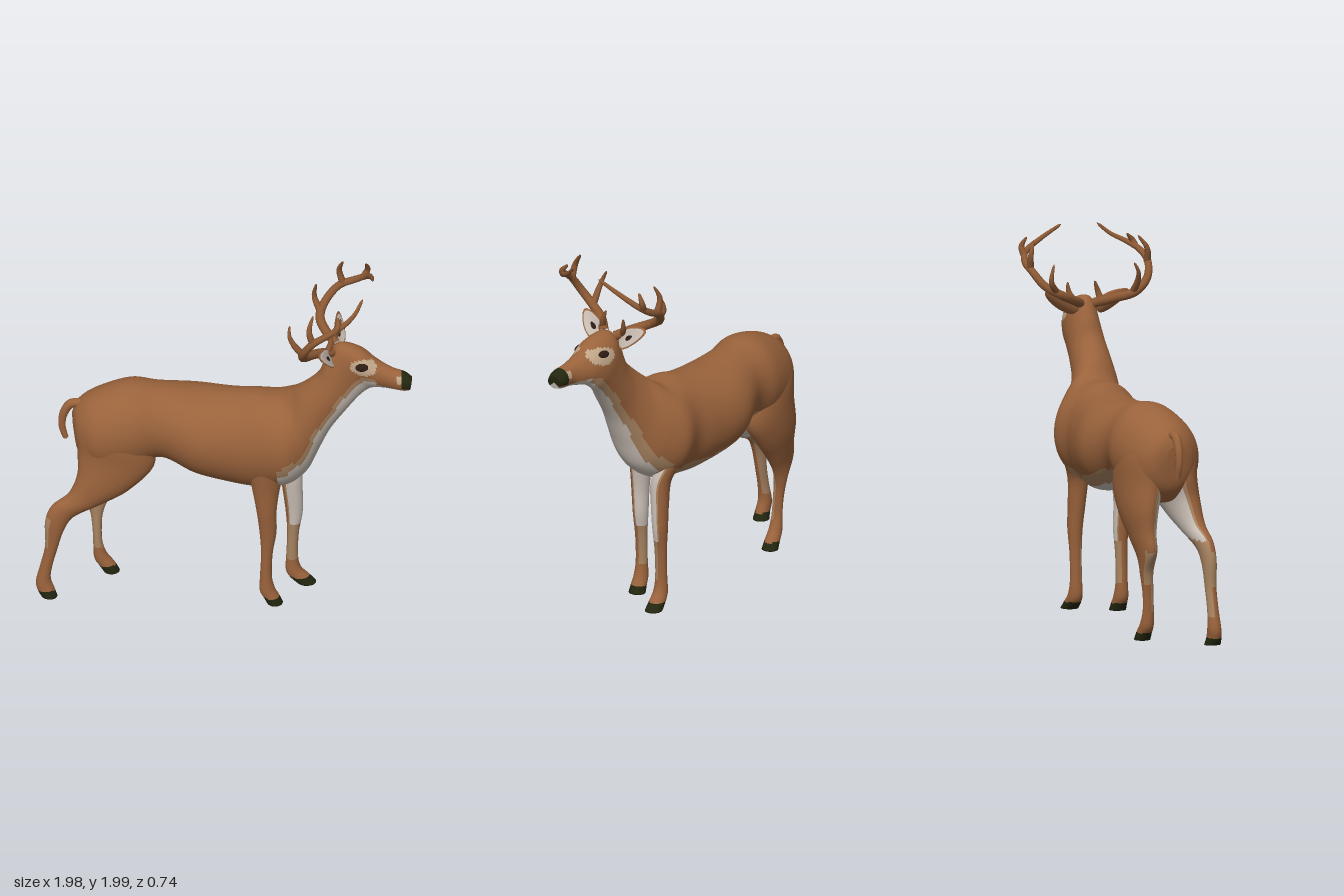
import * as THREE from 'three';

const mat = (name, color) => {
  const m = new THREE.MeshStandardMaterial({ color });
  m.name = name;
  return m;
};

// Uniform Catmull-Rom interpolation of number rows
function sampleRows(rows, steps) {
  const out = [];
  const at = i => rows[Math.min(Math.max(i, 0), rows.length - 1)];
  for (let i = 0; i < rows.length - 1; i++) {
    for (let k = 0; k < steps; k++) {
      const t = k / steps;
      out.push(rows[i].map((p1, c) => {
        const p0 = at(i - 1)[c], p2 = at(i + 1)[c], p3 = at(i + 2)[c];
        return p1 + 0.5 * t * (p2 - p0 + t * (2 * p0 - 5 * p1 + 4 * p2 - p3 + t * (3 * (p1 - p2) + p3 - p0)));
      }));
    }
  }
  out.push(rows[rows.length - 1]);
  return out;
}

// Skin over oval sections. Row: [x, y of one edge, x, y of the opposite edge, centre z, half width].
// pick(x, y, z, angle) returns the colour index of each face.
function loft(name, rows, materials, pick, seg, steps) {
  const rings = sampleRows(rows, steps), pos = [];
  const buckets = materials.map(() => []);
  for (const [x1, y1, x2, y2, z, w] of rings) {
    for (let j = 0; j < seg; j++) {
      const a = j / seg * Math.PI * 2, c = Math.cos(a) / 2;
      pos.push((x1 + x2) / 2 + (x1 - x2) * c, (y1 + y2) / 2 + (y1 - y2) * c, z + w * Math.sin(a));
    }
  }
  for (const [x1, y1, x2, y2, z] of [rings[0], rings[rings.length - 1]]) pos.push((x1 + x2) / 2, (y1 + y2) / 2, z);
  const start = rings.length * seg, end = start + 1;
  const add = (angle, ...v) => {
    const mid = [0, 1, 2].map(c => v.reduce((s, i) => s + pos[i * 3 + c], 0) / v.length);
    const b = buckets[pick(...mid, angle)];
    b.push(v[0], v[1], v[2]);
    if (v.length === 4) b.push(v[0], v[2], v[3]);
  };
  for (let j = 0; j < seg; j++) {
    const n = (j + 1) % seg, angle = (j + 0.5) / seg * Math.PI * 2;
    for (let i = 0; i < rings.length - 1; i++) {
      const r = i * seg, q = r + seg;
      add(angle, r + j, r + n, q + n, q + j);
    }
    add(angle, start, n, j);
    add(angle, end, start - seg + j, start - seg + n);
  }
  const g = new THREE.BufferGeometry();
  g.setAttribute('position', new THREE.Float32BufferAttribute(pos, 3));
  g.setIndex(buckets.flat());
  let offset = 0;
  buckets.forEach((b, i) => {
    if (b.length) g.addGroup(offset, b.length, i);
    offset += b.length;
  });
  g.computeVertexNormals();
  const mesh = new THREE.Mesh(g, materials);
  mesh.name = name;
  return mesh;
}

// Tube that narrows from r0 to r1 along a smooth path
function taperTube(name, points, r0, r1, material) {
  const curve = new THREE.CatmullRomCurve3(points.map(p => new THREE.Vector3(...p)));
  const n = points.length * 5, sides = 10;
  const g = new THREE.TubeGeometry(curve, n, 1, sides);
  const p = g.attributes.position, v = new THREE.Vector3();
  for (let i = 0; i <= n; i++) {
    const c = curve.getPointAt(i / n);
    const r = i === n ? 0.001 : r0 + (r1 - r0) * (i / n) ** 1.7;
    for (let j = 0; j <= sides; j++) {
      const k = i * (sides + 1) + j;
      v.fromBufferAttribute(p, k).sub(c).multiplyScalar(r).add(c);
      p.setXYZ(k, v.x, v.y, v.z);
    }
  }
  const mesh = new THREE.Mesh(g, material);
  mesh.name = name;
  return mesh;
}

// Pointed, cupped leaf from base to tip, hollow side turned along facing
function ear(name, base, tip, facing, outer, inner, hollow) {
  const group = new THREE.Group();
  group.name = name;
  const b = new THREE.Vector3(...base), up = new THREE.Vector3(...tip).sub(b);
  const length = up.length(), width = 0.058;
  up.normalize();
  const face = new THREE.Vector3(...facing);
  face.addScaledVector(up, -face.dot(up)).normalize();
  const side = new THREE.Vector3().crossVectors(up, face);
  const frame = new THREE.Matrix4().makeBasis(side, up, face).setPosition(b);
  const leaf = (part, k, shift, material) => {
    const g = new THREE.SphereGeometry(1, 20, 16), p = g.attributes.position;
    for (let i = 0; i < p.count; i++) {
      const t = (p.getY(i) + 1) / 2, x = p.getX(i) * (1.15 - 0.5 * t);
      p.setXYZ(i, x * width * k, (0.42 + (t - 0.42) * k) * length, p.getZ(i) * 0.008 + x * x * 0.022 * k * k + shift);
    }
    g.applyMatrix4(frame);
    g.computeVertexNormals();
    const m = new THREE.Mesh(g, material);
    m.name = part;
    group.add(m);
  };
  leaf('earBack', 1, 0, outer);
  leaf('earInside', 0.88, 0.005, inner);
  leaf('earHollow', 0.3, 0.008, hollow);
  return group;
}

export function createModel() {
  const root = new THREE.Group();
  root.name = 'deer';
  const brown = mat('brown coat', 0x99623b), pale = mat('pale underside', 0xc9beb4);
  const tan = mat('tan border', 0xa68260), dark = mat('dark hoof and nose', 0x23260f);
  const horn = mat('antler', 0x8b5833), eyeDark = mat('eye', 0x2e1c14);
  const ringTan = mat('eye ring', 0xbfa487);
  const coat = [brown, pale, tan, dark, ringTan];

  // Trunk, neck and head in one skin
  root.add(loft('body', [
    [-0.805, 1.06, -0.795, 0.95, -0.14, 0.04],
    [-0.775, 1.125, -0.765, 0.82, -0.14, 0.125],
    [-0.68, 1.195, -0.66, 0.74, -0.13, 0.195],
    [-0.5, 1.25, -0.48, 0.76, -0.14, 0.212],
    [-0.35, 1.235, -0.33, 0.815, -0.14, 0.19],
    [-0.15, 1.22, -0.15, 0.735, -0.13, 0.24],
    [0.05, 1.23, 0.07, 0.69, -0.09, 0.225],
    [0.17, 1.25, 0.2, 0.69, -0.06, 0.22],
    [0.28, 1.245, 0.34, 0.72, -0.05, 0.235],
    [0.34, 1.28, 0.44, 0.81, -0.03, 0.19],
    [0.39, 1.33, 0.5, 0.96, 0.01, 0.145],
    [0.45, 1.39, 0.56, 1.1, 0.035, 0.115],
    [0.5, 1.45, 0.64, 1.22, 0.045, 0.1],
    [0.535, 1.54, 0.715, 1.315, 0.045, 0.09],
    [0.6, 1.63, 0.765, 1.36, 0.05, 0.088],
    [0.71, 1.618, 0.8, 1.385, 0.073, 0.085],
    [0.8, 1.56, 0.845, 1.395, 0.095, 0.065],
    [0.88, 1.525, 0.89, 1.4, 0.12, 0.05],
    [0.95, 1.508, 0.945, 1.402, 0.137, 0.05],
    [0.99, 1.482, 0.977, 1.41, 0.145, 0.037],
  ], coat, (x, y, z, a) => {
    if (x > 0.932 && y > 1.43) return 3;
    if (((x - 0.732) / 0.07) ** 2 + ((y - 1.537) / 0.045) ** 2 < 1) return 4;
    if (x > 0.908 && y > 1.46 && y < 1.5) return 4;
    if (x < -0.55) return 0;
    // the pale band lies wider on the near side of the neck, wider on the far side of the belly
    const near = a < Math.PI, neck = x > 0.28;
    const under = Math.abs(a - Math.PI) + 0.05 * Math.sin(x * 23 + y * 17);
    const reach = x > 0.8 ? 0.8 : neck ? (near ? 1.1 : 0.42) : 0.48;
    const border = x > 0.8 ? 0.15 : near ? 0.2 : 0.4;
    return under < reach ? 1 : under < reach + border ? 2 : 0;
  }, 64, 8));

  // Legs: row = front edge, back edge, z, half width, from the hip down.
  // inner is the z direction of the pale side, front its wrap onto the shin, low its lower end
  const leg = (name, inner, front, low, rows) => root.add(loft(name, rows, coat, (x, y, z, a) => {
    if (y < 0.05) return 3;
    const s = inner * Math.sin(a) + (y > low ? front : front / 3) * Math.cos(a);
    if (!front && y > 0.32 && y < 0.5 && Math.cos(a) < -0.6) return 2;
    if (y > 0.88 || y < 0.16 || s < 0.2) return 0;
    return y > low && s > 0.4 ? 1 : 2;
  }, 32, 6));
  leg('nearHindLeg', -1, 0, 0.56, [
    [-0.42, 1.08, -0.7, 1.13, -0.08, 0.1],
    [-0.385, 0.95, -0.765, 1.02, -0.042, 0.11],
    [-0.37, 0.8, -0.775, 0.88, -0.042, 0.11],
    [-0.5, 0.665, -0.775, 0.76, -0.015, 0.085],
    [-0.65, 0.58, -0.82, 0.64, 0, 0.06],
    [-0.79, 0.505, -0.91, 0.565, 0.01, 0.042],
    [-0.845, 0.42, -0.945, 0.47, 0.015, 0.036],
    [-0.88, 0.3, -0.945, 0.32, 0.015, 0.03],
    [-0.905, 0.2, -0.97, 0.2, 0.015, 0.03],
    [-0.915, 0.12, -0.993, 0.1, 0.015, 0.036],
    [-0.895, 0.055, -0.985, 0.05, 0.02, 0.038],
    [-0.88, 0.008, -0.965, 0.012, 0.02, 0.044],
  ]);
  leg('farHindLeg', 1, 0, 0.56, [
    [-0.42, 1.08, -0.7, 1.13, -0.2, 0.1],
    [-0.385, 0.95, -0.755, 1.02, -0.232, 0.11],
    [-0.37, 0.79, -0.76, 0.86, -0.238, 0.11],
    [-0.45, 0.66, -0.77, 0.73, -0.255, 0.085],
    [-0.54, 0.55, -0.765, 0.61, -0.255, 0.06],
    [-0.61, 0.45, -0.78, 0.5, -0.25, 0.042],
    [-0.643, 0.36, -0.718, 0.39, -0.245, 0.035],
    [-0.65, 0.27, -0.7, 0.28, -0.235, 0.03],
    [-0.645, 0.18, -0.695, 0.18, -0.23, 0.03],
    [-0.62, 0.11, -0.69, 0.09, -0.23, 0.036],
    [-0.58, 0.055, -0.665, 0.045, -0.23, 0.04],
    [-0.555, 0.008, -0.64, 0.006, -0.23, 0.044],
  ]);
  const foreLeg = (name, inner, z, dx, shoulderZ) => leg(name, inner, 0.6, 0.38, [
    [0.33, 1.08, 0.15, 1.1, shoulderZ, 0.05],
    [0.32 + dx / 4, 0.95, 0.13 + dx / 3, 0.96, shoulderZ, 0.06],
    [0.31 + dx / 2, 0.82, 0.13 + dx * 0.7, 0.83, (z + shoulderZ) / 2, 0.057],
    [0.29 + dx * 0.85, 0.71, 0.147 + dx, 0.72, z + 0.006, 0.053],
    [0.275 + dx, 0.58, 0.17 + dx, 0.58, z + 0.006, 0.046],
    [0.275 + dx, 0.45, 0.185 + dx, 0.45, z, 0.04],
    [0.255 + dx, 0.32, 0.193 + dx, 0.32, z, 0.033],
    [0.25 + dx, 0.18, 0.188 + dx, 0.18, z, 0.032],
    [0.265 + dx, 0.1, 0.185 + dx, 0.09, z, 0.038],
    [0.29 + dx * 1.15, 0.05, 0.205 + dx, 0.045, z, 0.042],
    [0.308 + dx * 1.28, 0.008, 0.225 + dx * 1.15, 0.008, z, 0.046],
  ]);
  foreLeg('nearForeLeg', -1, 0.066, 0, 0.095);
  foreLeg('farForeLeg', 1, -0.135, 0.135, -0.2);

  // Tail
  root.add(taperTube('tail', [[-0.76, 1.12, -0.14], [-0.81, 1.115, -0.14], [-0.85, 1.05, -0.142],
    [-0.857, 0.97, -0.143], [-0.835, 0.89, -0.143]], 0.025, 0.014, brown));

  // Eyes
  for (const [name, at, n] of [['nearEye', [0.725, 1.545, 0.152], [0.05, 0.3, 1]], ['farEye', [0.725, 1.545, -0.004], [0.4, 0.3, -0.9]]]) {
    const eye = new THREE.Mesh(new THREE.SphereGeometry(1, 24, 16), eyeDark);
    eye.scale.set(0.034, 0.022, 0.014);
    eye.position.set(...at);
    eye.lookAt(at[0] + n[0], at[1] + n[1], at[2] + n[2]);
    eye.name = name;
    root.add(eye);
  }

  // Ears
  root.add(ear('nearEar', [0.565, 1.555, 0.1], [0.5, 1.67, 0.25], [1, 0.8, 0.4], brown, pale, eyeDark));
  root.add(ear('farEar', [0.585, 1.555, -0.01], [0.6, 1.675, -0.19], [1, 0.8, -0.1], brown, pale, eyeDark));

  // Antlers: first path is the main beam, the rest are tines
  const antler = (name, paths) => {
    const g = new THREE.Group();
    g.name = name;
    paths.forEach((p, i) => g.add(taperTube(i ? 'tine' : 'beam', p, i ? 0.019 : 0.026, i ? 0.005 : 0.008, horn)));
    root.add(g);
  };
  antler('nearAntler', [
    [[0.57, 1.6, 0.085], [0.48, 1.635, 0.16], [0.42, 1.67, 0.25], [0.42, 1.74, 0.32], [0.47, 1.82, 0.348],
      [0.55, 1.87, 0.34], [0.63, 1.905, 0.3], [0.69, 1.94, 0.24], [0.73, 1.995, 0.18]],
    [[0.425, 1.67, 0.24], [0.37, 1.74, 0.24], [0.345, 1.79, 0.23], [0.345, 1.84, 0.205]],
    [[0.47, 1.815, 0.345], [0.45, 1.89, 0.335], [0.47, 1.96, 0.29]],
    [[0.58, 1.88, 0.33], [0.6, 1.91, 0.325], [0.6, 1.95, 0.29]],
    [[0.54, 1.61, 0.11], [0.56, 1.66, 0.1], [0.56, 1.72, 0.08]],
  ]);
  antler('farAntler', [
    [[0.59, 1.6, 0.01], [0.53, 1.635, -0.07], [0.5, 1.67, -0.15], [0.53, 1.72, -0.23], [0.6, 1.79, -0.268],
      [0.68, 1.825, -0.268], [0.745, 1.87, -0.235], [0.77, 1.925, -0.14], [0.78, 1.995, -0.005]],
    [[0.51, 1.67, -0.16], [0.47, 1.75, -0.22], [0.48, 1.84, -0.2]],
    [[0.62, 1.8, -0.27], [0.6, 1.88, -0.275], [0.62, 1.95, -0.25]],
    [[0.73, 1.855, -0.25], [0.75, 1.9, -0.255], [0.74, 1.95, -0.23]],
    [[0.57, 1.61, -0.03], [0.6, 1.66, -0.05], [0.61, 1.715, -0.055]],
  ]);
  return root;
}
